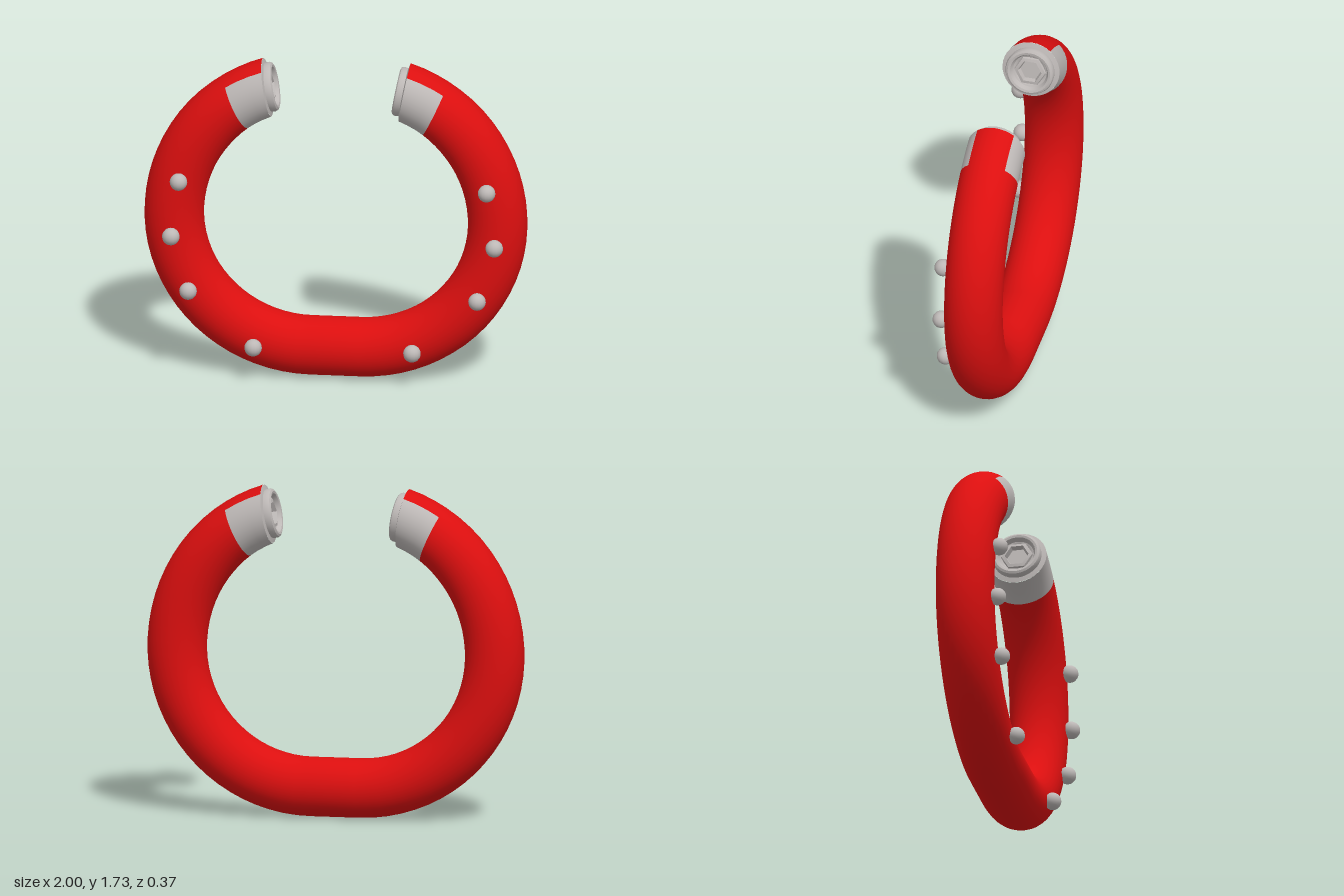
import * as THREE from 'three';
import { toCreasedNormals } from 'three/addons/utils/BufferGeometryUtils.js';

const red = new THREE.MeshStandardMaterial({ color: 0xdc0f0f });
red.name = 'red';
const silver = new THREE.MeshStandardMaterial({ color: 0xbdb8b6 });
silver.name = 'silver';

const Z = -0.0325;              // depth of the tube's centre line
const R = 0.155, RZ = 0.1525;   // tube half sizes
const CAP = 57, END = 71.3;     // angles where a tip starts and ends
const SIDES = 36;

// Centre point and outward direction of the right half at an angle in degrees
function section(deg) {
  const t = THREE.MathUtils.degToRad(deg), ry = deg > 0 ? 0.75 : 0.715;
  const c = Math.cos(t), s = Math.sin(t);
  const tilt = THREE.MathUtils.smoothstep(deg, 35, CAP) * 0.16;
  const a = Math.atan2(s / ry, c / 0.715) + tilt;
  return { x: 0.13 + 0.715 * c, y: 0.87 + ry * s, nx: Math.cos(a), ny: Math.sin(a), cap: deg > CAP - 0.01 };
}

// Bent tube with silver tips that leave a red strip along the outside
function bodyGeometry() {
  const half = [];
  for (let i = 0; i < 30; i++) half.push(section(-90 + (CAP + 90) * i / 30));
  for (let i = 0; i <= 3; i++) half.push(section(CAP + (END - CAP) * i / 3));
  const rings = [...half.map(p => ({ ...p, x: -p.x, nx: -p.nx })).reverse(), ...half];
  const pos = [], faces = [[], []];
  rings.forEach((p, i) => {
    for (let j = 0; j < SIDES; j++) {
      const a = j / SIDES * Math.PI * 2, k = R * Math.cos(a);
      pos.push(p.x + p.nx * k, p.y + p.ny * k, Z + RZ * Math.sin(a));
      if (i === rings.length - 1) continue;
      const q = rings[i + 1], j2 = (j + 1) % SIDES;
      const outside = j < 4 || j >= SIDES - 4;
      const A = i * SIDES + j, B = A + SIDES, C = i * SIDES + j2, D = C + SIDES;
      faces[p.cap && q.cap && !outside ? 1 : 0].push(A, B, C, B, D, C);
    }
  });
  const g = new THREE.BufferGeometry();
  g.setAttribute('position', new THREE.Float32BufferAttribute(pos, 3));
  g.setIndex([...faces[0], ...faces[1]]);
  g.addGroup(0, faces[0].length, 0);
  g.addGroup(faces[0].length, faces[1].length, 1);
  g.computeVertexNormals();
  return g;
}

function lathe(points, sides) {
  const g = new THREE.LatheGeometry(points.map(p => new THREE.Vector2(...p)), sides);
  return toCreasedNormals(g, 0.6);
}

export function createModel() {
  const model = new THREE.Group();
  model.name = 'horseshoe';

  const body = new THREE.Mesh(bodyGeometry(), [red, silver]);
  body.name = 'bentTube';
  model.add(body);

  // Rounded rim and six-sided socket closing each tip
  const rimGeo = lathe([[0.153, 0], [0.128, 0.006], [0.13, 0.028], [0.125, 0.04], [0.114, 0.046],
    [0.102, 0.043], [0.09, 0.02], [0.078, 0.016], [0.066, 0.004]], 36);
  const socketGeo = lathe([[0.088, 0.012], [0.082, 0.026], [0.064, 0.03], [0.056, 0.004], [0, 0.004]], 6);
  const e = section(END);
  for (const side of [1, -1]) {
    const tip = new THREE.Group();
    tip.name = side > 0 ? 'leftTip' : 'rightTip';
    const rim = new THREE.Mesh(rimGeo, silver);
    rim.name = 'tipRim';
    const socket = new THREE.Mesh(socketGeo, silver);
    socket.name = 'tipSocket';
    tip.add(rim, socket);
    tip.position.set(side * e.x, e.y, Z);
    tip.quaternion.setFromUnitVectors(new THREE.Vector3(0, 1, 0), new THREE.Vector3(-side * e.ny, e.nx, 0));
    model.add(tip);
  }

  // Round studs along the front
  const studGeo = new THREE.SphereGeometry(0.046, 16, 12);
  for (const [x, y] of [[0.805, 1.1], [0.845, 0.795], [0.755, 0.495], [0.415, 0.193]]) {
    for (const side of [1, -1]) {
      const stud = new THREE.Mesh(studGeo, silver);
      stud.name = 'stud';
      stud.position.set(side * x, y, 0.14);
      model.add(stud);
    }
  }
  return model;
}
